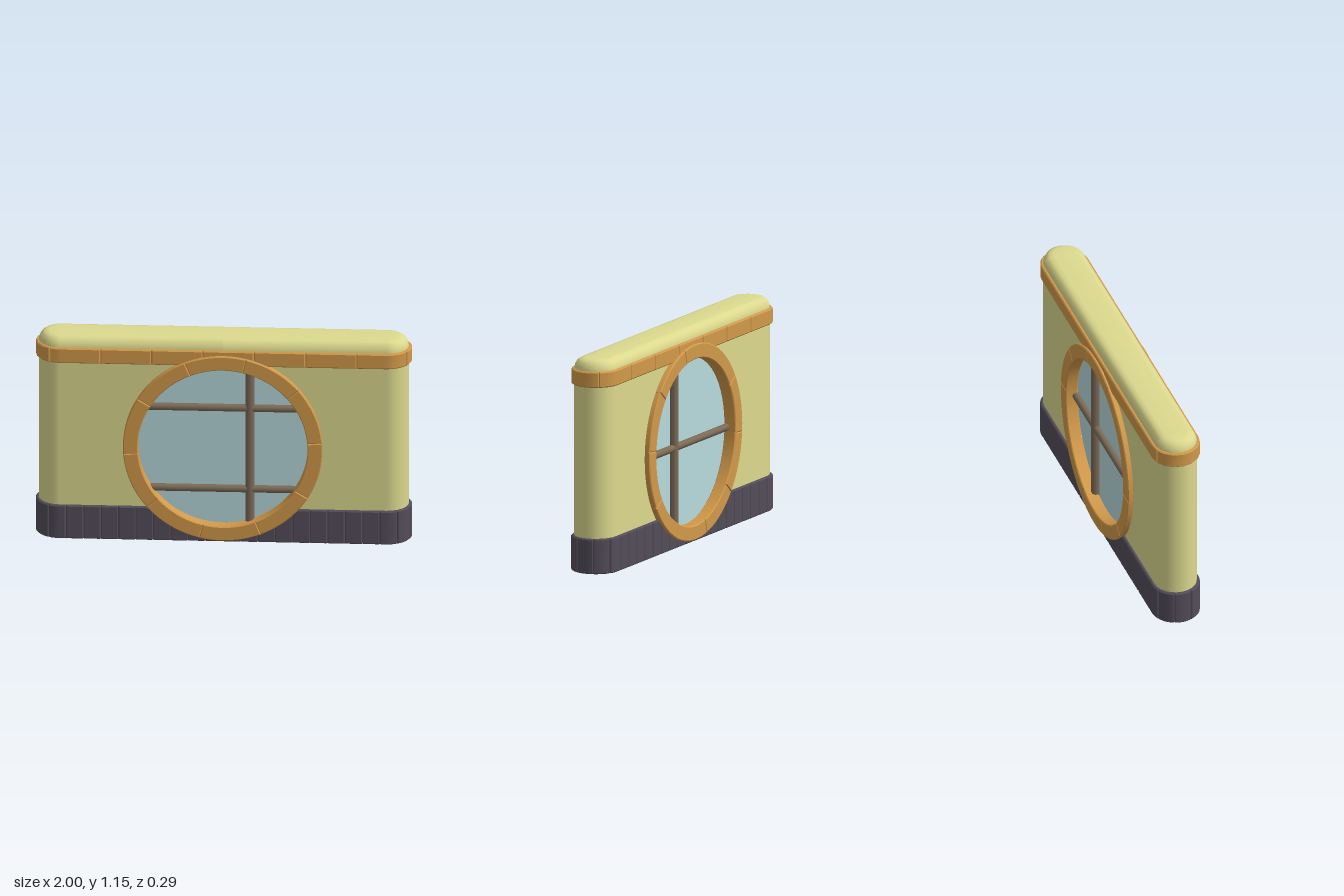
import * as THREE from 'three';
import { toCreasedNormals } from 'three/addons/utils/BufferGeometryUtils.js';

const HALF = 0.868;              // half length of the straight sides
const ARC = 0.393;               // path length given to each rounded end
const STRAIGHT = 2 * HALF;
const PERIM = 2 * (STRAIGHT + ARC);
const WIN_Y = 0.54;              // window centre height

const mat = (name, color, side = THREE.FrontSide) => {
  const m = new THREE.MeshStandardMaterial({ color, side });
  m.name = name;
  return m;
};

// Point on the rounded outline: s runs along the front, right end, back, left end
function outline(s, r, y) {
  s = ((s % PERIM) + PERIM) % PERIM;
  const half = PERIM / 2;
  const sign = s < half ? 1 : -1;
  if (s >= half) s -= half;
  if (s <= STRAIGHT) return [sign * (s - HALF), y, sign * r];
  const a = ((s - STRAIGHT) / ARC) * Math.PI;
  return [sign * (HALF + r * Math.sin(a)), y, sign * r * Math.cos(a)];
}

// Skin a series of equal cross-sections
function loft(rows, closed) {
  const n = rows[0].length, index = [];
  for (let i = 0; i < rows.length - 1; i++) {
    for (let j = 0; j < (closed ? n : n - 1); j++) {
      const k = (j + 1) % n, a = i * n, b = a + n;
      index.push(a + j, b + j, b + k, a + j, b + k, a + k);
    }
  }
  const g = new THREE.BufferGeometry();
  g.setAttribute('position', new THREE.Float32BufferAttribute(rows.flat(2), 3));
  g.setIndex(index);
  g.computeVertexNormals();
  return g;
}

// Bevelled block that follows the outline from s0 to s1
function block(s0, s1, y0, topAt, rIn, rOut) {
  const b = 0.006, stops = [s0, s0 + b];
  for (let i = 1; i < 6; i++) stops.push(s0 + ((s1 - s0) * i) / 6);
  // keep exact corners where the straight meets the curve
  for (const c of [0, STRAIGHT, PERIM / 2, PERIM / 2 + STRAIGHT, PERIM])
    if (c > s0 + b && c < s1 - b) stops.push(c);
  stops.push(s1 - b, s1);
  stops.sort((p, q) => p - q);
  const rows = stops.map((s, i) => {
    const r = rOut - (i === 0 || i === stops.length - 1 ? b : 0);
    const y1 = topAt(outline(s, r, 0)[0]);
    return [[rIn, y0], [r - b, y0], [r, y0 + b], [r, y1 - b], [r - b, y1], [rIn, y1]]
      .map(([q, y]) => outline(s, q, y));
  });
  return toCreasedNormals(loft(rows, true), 0.5);
}

export function createModel() {
  const model = new THREE.Group();
  model.name = 'roundWindowWall';
  const plaster = mat('plaster', 0xdcd98e, THREE.DoubleSide);
  const trimMat = mat('orangeTrim', 0xd2994a);
  const stone = mat('darkStone', 0x544d5a);
  const wood = mat('brownWood', 0x7c6b57);
  const glass = mat('paleGlass', 0xb8dadc, THREE.DoubleSide);

  const group = (name) => {
    const g = new THREE.Group();
    g.name = name;
    model.add(g);
    return g;
  };
  const add = (parent, name, geo, material) => {
    const m = new THREE.Mesh(geo, material);
    m.name = name;
    parent.add(m);
    return m;
  };

  // Hollow wall: two pierced faces, two rounded ends, soft top; open below
  const wall = group('wall');
  const R = 0.115, H = 1.09;
  const face = new THREE.Shape();
  face.moveTo(-HALF, 0).lineTo(HALF, 0).lineTo(HALF, H).lineTo(-HALF, H);
  face.holes.push(new THREE.Path().absarc(0, WIN_Y, 0.49, 0, Math.PI * 2, true));
  for (const side of [1, -1]) {
    const f = add(wall, side > 0 ? 'frontFace' : 'backFace', new THREE.ShapeGeometry(face, 32), plaster);
    f.position.z = side * R;
    if (side < 0) f.rotation.y = Math.PI;
    const end = add(wall, side > 0 ? 'leftEnd' : 'rightEnd',
      new THREE.CylinderGeometry(R, R, H, 12, 1, true, side > 0 ? 0 : Math.PI, Math.PI), plaster);
    end.position.set(side * HALF, H / 2, 0);
  }
  const domeProfile = [[R, 1.07], [R, 1.095], [0.111, 1.115], [0.1, 1.136], [0.083, 1.148], [0.06, 1.152], [0, 1.153]];
  const domeStops = [HALF];
  for (const start of [STRAIGHT, PERIM / 2 + STRAIGHT])
    for (let i = 0; i <= 12; i++) domeStops.push(start + (ARC * i) / 12);
  domeStops.push(PERIM + HALF);
  add(wall, 'roundedTop', loft(domeStops.map((s) => domeProfile.map(([r, y]) => outline(s, r, y))), false), plaster);

  // Stone base course, cut away under the round windows
  const base = group('baseCourse');
  const baseTop = (x) => Math.min(0.19, WIN_Y - Math.sqrt(Math.max(0, 0.49 ** 2 - x * x)));
  const count = 46, step = PERIM / count;
  const first = STRAIGHT + ARC / 2 - step / 2;
  for (let i = 0; i < count; i++)
    add(base, 'baseStone', block(first + i * step, first + (i + 1) * step, 0, baseTop, 0.112, 0.131), stone);

  // Orange band below the top
  const band = group('topBand');
  const xs = [-0.65, -0.38, -0.107, 0.165, 0.438, 0.71];
  const joints = [-0.05, ...xs.map((x) => x + HALF), STRAIGHT + 0.12, STRAIGHT + ARC - 0.12,
    ...xs.map((x) => PERIM / 2 + HALF - x).reverse(), PERIM - ARC + 0.05, PERIM - 0.05];
  for (let i = 0; i < joints.length - 1; i++)
    add(band, 'bandBlock', block(joints[i], joints[i + 1], 1.01, () => 1.095, 0.1, 0.131), trimMat);

  // Wedge of the window ring, with small bevels
  const bev = 0.005, span = Math.PI / 5, da = bev / 0.49;
  const wedge = new THREE.Shape();
  wedge.absarc(0, 0, 0.53 - bev, da, span - da, false);
  wedge.absarc(0, 0, 0.45 + bev, span - da, da, true);
  const wedgeGeo = toCreasedNormals(new THREE.ExtrudeGeometry(wedge, {
    depth: 0.07 - 2 * bev, bevelEnabled: true, bevelThickness: bev, bevelSize: bev, bevelSegments: 1, curveSegments: 8,
  }), 0.5);

  // Both windows: ring, pane and glazing bars
  for (const side of [1, -1]) {
    const win = group(side > 0 ? 'frontWindow' : 'backWindow');
    win.position.y = WIN_Y;
    for (let i = 0; i < 10; i++) {
      const w = add(win, 'ringBlock', wedgeGeo, trimMat);
      w.position.z = (side > 0 ? 0.075 : -0.145) + bev;
      w.rotation.z = THREE.MathUtils.degToRad(4.5 + 36 * i);
    }
    const pane = add(win, 'pane', new THREE.CircleGeometry(0.475, 64), glass);
    pane.position.z = side * 0.07;
    if (side < 0) pane.rotation.y = Math.PI;

    const barZ = side * 0.087;
    const upright = add(win, 'uprightBar', new THREE.CylinderGeometry(0.024, 0.024, 0.99, 10), wood);
    upright.position.set(0.142, 0, barZ);
    for (const y of side > 0 ? [0.215, -0.25] : [-0.01]) {
      const length = 2 * Math.sqrt(0.48 ** 2 - y * y);
      const bar = add(win, 'crossBar', new THREE.CylinderGeometry(0.02, 0.02, length, 10), wood);
      bar.rotation.z = Math.PI / 2;
      bar.position.set(0, y, barZ);
    }
  }
  return model;
}
